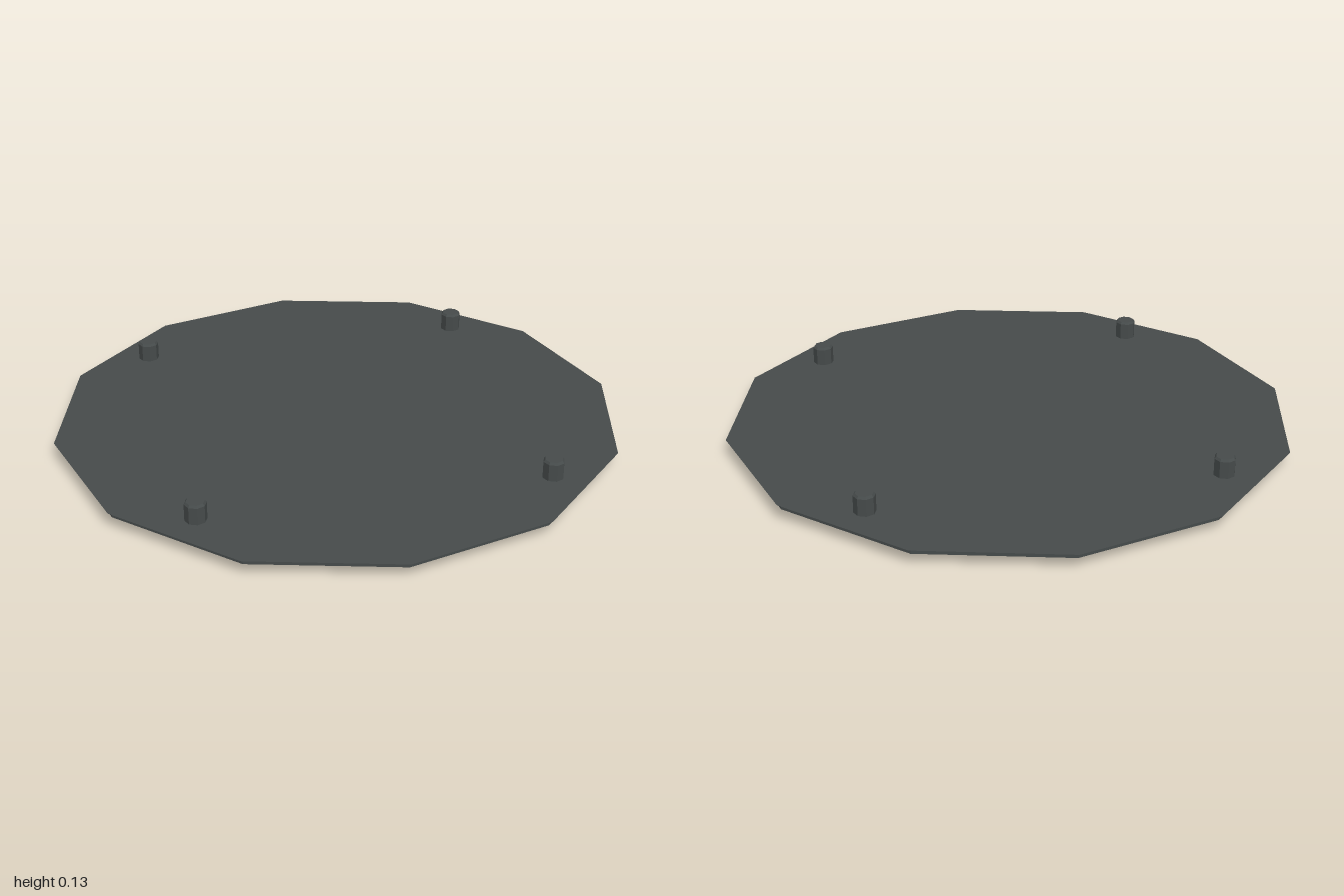
import * as THREE from 'three';

export function createModel() {
  const model = new THREE.Group();
  const darkGrey = new THREE.MeshStandardMaterial({ color: 0x464b4b, flatShading: true });
  darkGrey.name = 'darkGrey';

  // Stacked prism helper: sits on y, vertices lie on the x and z axes
  function prism(name, rTop, rBottom, y, height, sides, x = 0, z = 0, open = false) {
    const mesh = new THREE.Mesh(new THREE.CylinderGeometry(rTop, rBottom, height, sides, 1, open), darkGrey);
    mesh.name = name;
    mesh.position.set(x, y + height / 2, z);
    model.add(mesh);
  }

  // Twelve-sided base and plate with a bevelled rim
  prism('base', 0.775, 0.775, 0, 0.04, 12);
  prism('plateLower', 0.985, 0.985, 0.04, 0.013, 12);
  prism('plateRim', 1, 0.987, 0.053, 0.007, 12);

  // Four pegs with a small chamfer on top
  for (const x of [-0.597, 0.597]) {
    for (const z of [-0.597, 0.597]) {
      prism('peg', 0.037, 0.037, 0.06, 0.06, 8, x, z, true);
      prism('pegCap', 0.031, 0.037, 0.12, 0.008, 8, x, z);
    }
  }
  return model;
}
